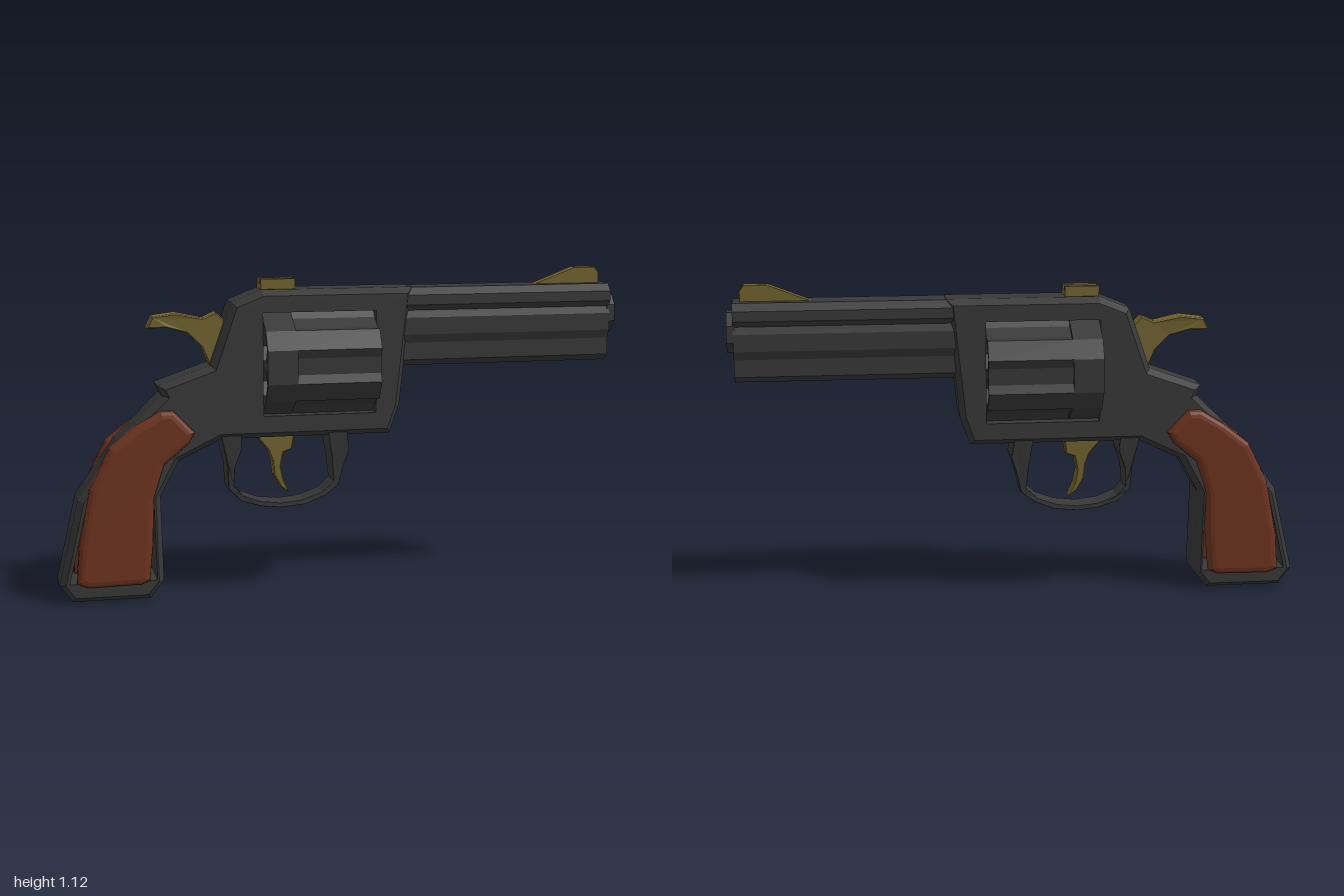
import * as THREE from 'three';

const steel = new THREE.MeshStandardMaterial({ name: 'darkSteel', color: 0x383838 });
const wood = new THREE.MeshStandardMaterial({ name: 'redWood', color: 0x6e3420 });
const brass = new THREE.MeshStandardMaterial({ name: 'brass', color: 0x72632f });

const vecs = (pts) => pts.map(([x, y]) => new THREE.Vector2(x, y));
const ring = (cx, cy, r, n, turn = 0) => Array.from({ length: n }, (_, i) => {
  const a = turn + (i / n) * Math.PI * 2;
  return [cx + r * Math.cos(a), cy + r * Math.sin(a)];
});

// Moves every edge of a counter-clockwise outline inwards by s
function inset(pts, s) {
  return pts.map((p, i) => {
    const a = pts[(i + pts.length - 1) % pts.length], b = pts[(i + 1) % pts.length];
    const d1 = p.clone().sub(a).normalize(), d2 = b.clone().sub(p).normalize();
    const n1 = new THREE.Vector2(-d1.y, d1.x), n2 = new THREE.Vector2(-d2.y, d2.x);
    const k = s / Math.max(0.4, 1 + n1.dot(n2));
    return p.clone().add(n1.add(n2).multiplyScalar(k));
  });
}

// Plate centred on z with chamfered outer edges and straight holes
function chamferPlate(outline, half, size, thick, holes = []) {
  const outer = vecs(outline);
  if (THREE.ShapeUtils.isClockWise(outer)) outer.reverse();
  const inner = inset(outer, size);
  const cuts = holes.map((h) => {
    const v = vecs(h);
    return THREE.ShapeUtils.isClockWise(v) ? v : v.reverse();
  });
  const pos = [];
  const put = (p, z) => pos.push(p.x, p.y, z);
  const wall = (A, za, B, zb) => A.forEach((p, i) => {
    const j = (i + 1) % A.length;
    put(p, za); put(A[j], za); put(B[j], zb);
    put(p, za); put(B[j], zb); put(B[i], zb);
  });
  wall(inner, -half, outer, thick - half);
  wall(outer, thick - half, outer, half - thick);
  wall(outer, half - thick, inner, half);
  cuts.forEach((c) => wall(c, -half, c, half));
  const all = inner.concat(...cuts);
  THREE.ShapeUtils.triangulateShape(inner, cuts).forEach(([a, b, c]) => {
    put(all[a], half); put(all[b], half); put(all[c], half);
    put(all[c], -half); put(all[b], -half); put(all[a], -half);
  });
  const g = new THREE.BufferGeometry();
  g.setAttribute('position', new THREE.Float32BufferAttribute(pos, 3));
  return g;
}

// Extrudes a (z, y) section along x
function alongX(section, x0, x1, holes = []) {
  const s = new THREE.Shape(vecs(section));
  s.holes = holes.map((h) => new THREE.Path(vecs(h)));
  const g = new THREE.ExtrudeGeometry(s, { depth: x1 - x0, bevelEnabled: false });
  return g.rotateY(Math.PI / 2).translate(x0, 0, 0);
}

// Rescales z by a rule of x and y
function reshapeZ(g, rule) {
  const p = g.attributes.position;
  for (let i = 0; i < p.count; i++) p.setZ(i, p.getZ(i) * rule(p.getX(i), p.getY(i)));
  return g;
}

export function createModel() {
  const model = new THREE.Group();
  const add = (name, g, mat) => {
    g.computeVertexNormals();
    const m = new THREE.Mesh(g, mat);
    m.name = name;
    model.add(m);
    return m;
  };

  // Frame and grip strap in one piece, open at the cylinder window and inside the grip
  const frame = [
    [0.25, 1.067], [-0.285, 1.067], [-0.39, 1.025], [-0.465, 0.81], [-0.65, 0.745],
    [-0.635, 0.71], [-0.79, 0.56], [-0.93, 0.36], [-1, 0.06], [-0.955, 0], [-0.685, 0],
    [-0.638, 0.06], [-0.645, 0.36], [-0.58, 0.48], [-0.43, 0.552], [0.17, 0.552], [0.205, 0.65],
  ];
  const cylinderWindow = [[-0.285, 0.63], [0.115, 0.63], [0.115, 0.99], [-0.285, 0.99]];
  const gripOpening = [
    [-0.965, 0.07], [-0.9, 0.35], [-0.79, 0.5], [-0.7, 0.47], [-0.672, 0.35], [-0.664, 0.07],
  ];
  add('frame', reshapeZ(
    chamferPlate(frame, 0.085, 0.02, 0.03, [cylinderWindow, gripOpening]),
    (x, y) => (y < 0.4 && x < -0.6 ? 1.1 : 1)), steel);

  // Barrel with rib, side groove and under-lug
  const half = [
    [0.03, 0.787], [0.062, 0.81], [0.062, 0.87], [0.075, 0.9], [0.075, 0.96],
    [0.066, 0.985], [0.082, 1.005], [0.082, 1.04], [0.055, 1.065],
  ];
  const barrel = half.concat(half.map(([z, y]) => [-z, y]).reverse());
  const bore = ring(0, 0.96, 0.056, 8, Math.PI / 8);
  add('barrel', alongX(barrel, 0.2, 0.978, [bore]), steel);
  add('muzzle', alongX(ring(0, 0.96, 0.076, 8, Math.PI / 8), 0.97, 1, [bore]), steel);

  // Six-chamber cylinder: plain rear band, fluted front
  const cy = 0.81, deg = Math.PI / 180;
  const plain = [], fluted = [], chambers = [];
  const at = (a, r) => [r * Math.cos(a * deg), cy + r * Math.sin(a * deg)];
  for (let i = 0; i < 6; i++) {
    const a = i * 60;
    plain.push(at(a - 18.5, 0.184), at(a + 18.5, 0.184));
    fluted.push(at(a - 18.5, 0.184), at(a - 10, 0.164), at(a + 10, 0.164), at(a + 18.5, 0.184));
    chambers.push(ring(...at(a + 30, 0.122), 0.054, 6));
  }
  add('cylinderRear', alongX(plain, -0.285, -0.18, chambers), steel);
  add('cylinderFront', alongX(fluted, -0.18, 0.115, chambers), steel);

  // Trigger guard, wider where it meets the frame
  const guard = [
    [-0.435, 0.57], [-0.41, 0.46], [-0.405, 0.37], [-0.36, 0.325], [-0.29, 0.303],
    [-0.215, 0.295], [-0.13, 0.303], [-0.06, 0.33], [-0.01, 0.37], [0.003, 0.43],
    [0.025, 0.5], [0.015, 0.57], [-0.055, 0.57], [-0.04, 0.48], [-0.03, 0.385],
    [-0.07, 0.347], [-0.14, 0.322], [-0.215, 0.314], [-0.29, 0.322], [-0.355, 0.347],
    [-0.385, 0.38], [-0.382, 0.45], [-0.36, 0.51], [-0.36, 0.57],
  ];
  add('triggerGuard', reshapeZ(chamferPlate(guard, 0.045, 0.002, 0.005),
    (x, y) => 1 + 0.6 * THREE.MathUtils.clamp((y - 0.36) / 0.19, 0, 1)), steel);

  // Trigger
  const trigger = [
    [-0.31, 0.56], [-0.165, 0.56], [-0.175, 0.5], [-0.205, 0.49], [-0.215, 0.44],
    [-0.205, 0.39], [-0.185, 0.345], [-0.215, 0.365], [-0.24, 0.41], [-0.245, 0.46], [-0.26, 0.5],
  ];
  add('trigger', chamferPlate(trigger, 0.028, 0.004, 0.006), brass);

  // Hammer with a wider thumb spur
  const hammer = [
    [-0.68, 0.94], [-0.66, 0.98], [-0.58, 0.99], [-0.485, 0.97], [-0.44, 0.99],
    [-0.41, 0.96], [-0.43, 0.82], [-0.465, 0.81], [-0.49, 0.87], [-0.54, 0.92], [-0.61, 0.94],
  ];
  add('hammer', reshapeZ(chamferPlate(hammer, 0.03, 0.004, 0.006),
    (x) => (x < -0.55 ? 1.25 : 1)), brass);

  // Sights
  const frontSight = [[0.7, 1.06], [0.955, 1.06], [0.955, 1.1], [0.94, 1.122], [0.86, 1.122]];
  add('frontSight', chamferPlate(frontSight, 0.02, 0.002, 0.004), brass);
  const box = (x, y, z, w, h, d) => new THREE.BoxGeometry(w, h, d).translate(x, y, z);
  add('rearSightBase', box(-0.225, 1.07, 0, 0.12, 0.03, 0.088), brass);
  for (const s of [1, -1]) {
    add(s > 0 ? 'rearSightLeft' : 'rearSightRight', box(-0.225, 1.085, s * 0.029, 0.12, 0.034, 0.03), brass);
  }

  // Wooden grip panels with rounded edges
  const panel = new THREE.Shape(vecs([
    [-0.94, 0.07], [-0.93, 0.2], [-0.89, 0.4], [-0.82, 0.54], [-0.73, 0.61], [-0.645, 0.662],
    [-0.6, 0.662], [-0.527, 0.585], [-0.55, 0.545], [-0.635, 0.475], [-0.672, 0.36],
    [-0.677, 0.2], [-0.69, 0.07], [-0.72, 0.058], [-0.9, 0.055],
  ]));
  for (const s of [1, -1]) {
    const g = new THREE.ExtrudeGeometry(panel, {
      depth: 0.03, bevelThickness: 0.022, bevelSize: 0.024, bevelOffset: -0.024, bevelSegments: 3,
    }).translate(0, 0, 0.064);
    if (s < 0) g.rotateY(Math.PI).scale(-1, 1, 1);
    // The mirrored panel has its corners swapped back to face outwards
    if (s < 0) {
      const p = g.attributes.position, a = new THREE.Vector3(), b = new THREE.Vector3();
      for (let i = 0; i < p.count; i += 3) {
        a.fromBufferAttribute(p, i); b.fromBufferAttribute(p, i + 1);
        p.setXYZ(i, b.x, b.y, b.z); p.setXYZ(i + 1, a.x, a.y, a.z);
      }
    }
    add(s > 0 ? 'gripPanelLeft' : 'gripPanelRight', g, wood);
  }
  return model;
}
